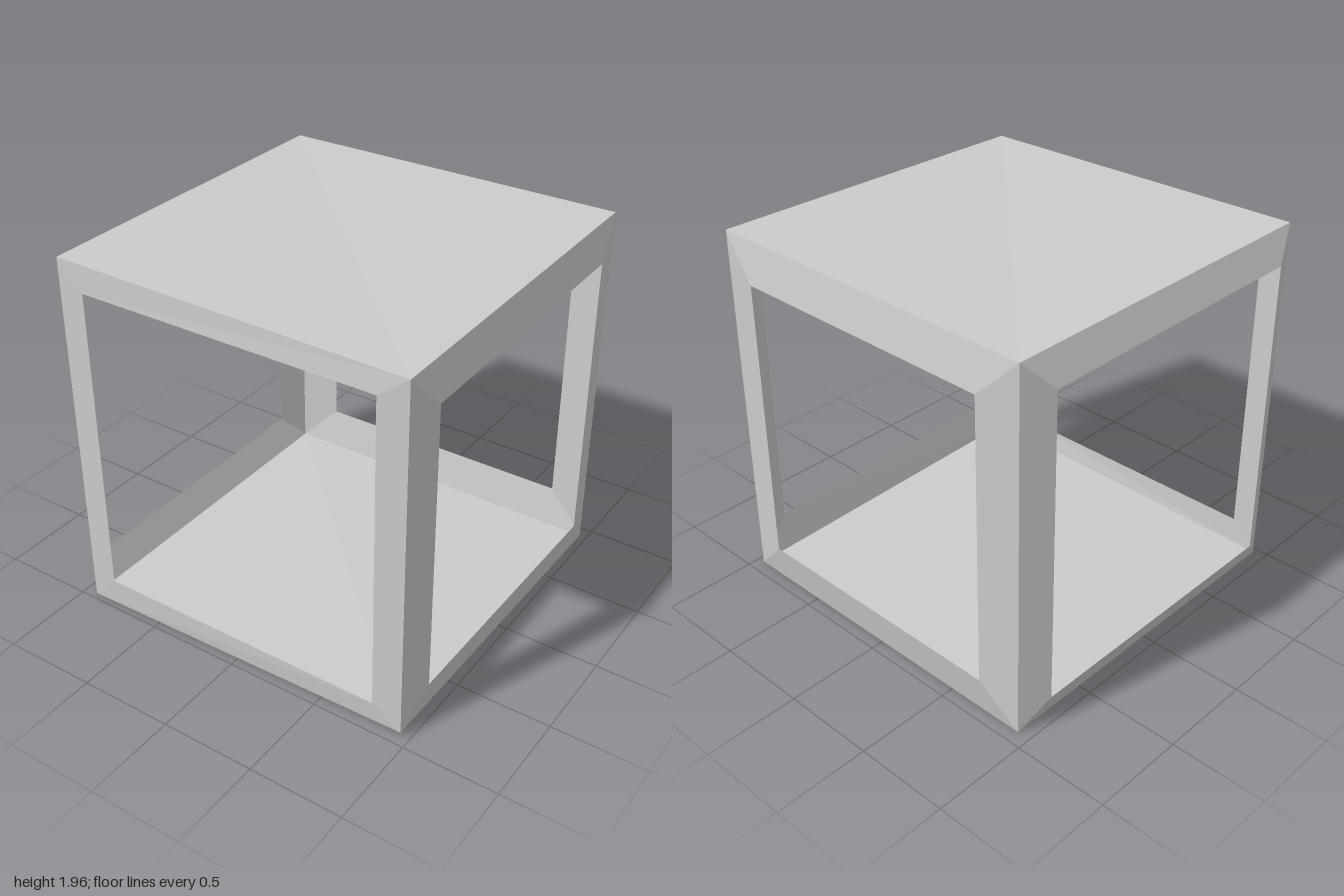
import * as THREE from 'three';

const material = new THREE.MeshStandardMaterial({ color: 0xcccccc, flatShading: true, side: THREE.DoubleSide });

// Mesh from four-cornered faces, each listed counter-clockwise from outside
function quadMesh(name, quads) {
  const points = quads.flatMap(([a, b, c, d]) => [a, b, c, a, c, d]);
  const geometry = new THREE.BufferGeometry();
  geometry.setAttribute('position', new THREE.Float32BufferAttribute(points.flat(), 3));
  geometry.computeVertexNormals();
  const mesh = new THREE.Mesh(geometry, material);
  mesh.name = name;
  return mesh;
}

// Four mitred strips between an outer loop and the loop around the opening
function windowFrame(name, outer, inner) {
  return quadMesh(name, outer.map((corner, i) => {
    const next = (i + 1) % 4;
    return [corner, outer[next], inner[next], inner[i]];
  }));
}

export function createModel() {
  const group = new THREE.Group();
  group.name = 'openCubeFrame';

  // Box corners, counter-clockwise seen from above: front-left of view, front-right, back-right, back-left
  const bottom = [[-0.93, 0, 0.965], [0.96, 0.035, 0.957], [0.96, 0, -0.93], [-0.93, 0, -0.93]];
  const top = [[-0.93, 1.955, 0.965], [0.96, 1.925, 0.957], [0.96, 1.955, -0.93], [-0.93, 1.955, -0.93]];

  // Openings, each counter-clockwise from its lower left corner seen from outside
  const openings = {
    frontFrame: [[-0.785, 0.15, 0.97], [0.81, 0.15, 0.97], [0.81, 1.81, 0.97], [-0.785, 1.81, 0.97]],
    leftFrame: [[1, 0.22, 0.78], [1, 0.2, -0.735], [1, 1.765, -0.735], [1, 1.74, 0.78]],
    backFrame: [[0.75, 0.215, -0.97], [-0.72, 0.215, -0.97], [-0.72, 1.745, -0.97], [0.75, 1.745, -0.97]],
    rightFrame: [[-1, 0.16, -0.78], [-1, 0.16, 0.81], [-1, 1.8, 0.81], [-1, 1.8, -0.78]],
  };

  // Sloped frames on the four sides
  Object.entries(openings).forEach(([name, inner], i) => {
    const j = (i + 1) % 4;
    group.add(windowFrame(name, [bottom[i], bottom[j], top[j], top[i]], inner));
  });

  // Closed roof and floor
  group.add(quadMesh('roof', [[top[1], top[2], top[3], top[0]]]));
  group.add(quadMesh('floor', [[bottom[3], bottom[2], bottom[1], bottom[0]]]));
  return group;
}
